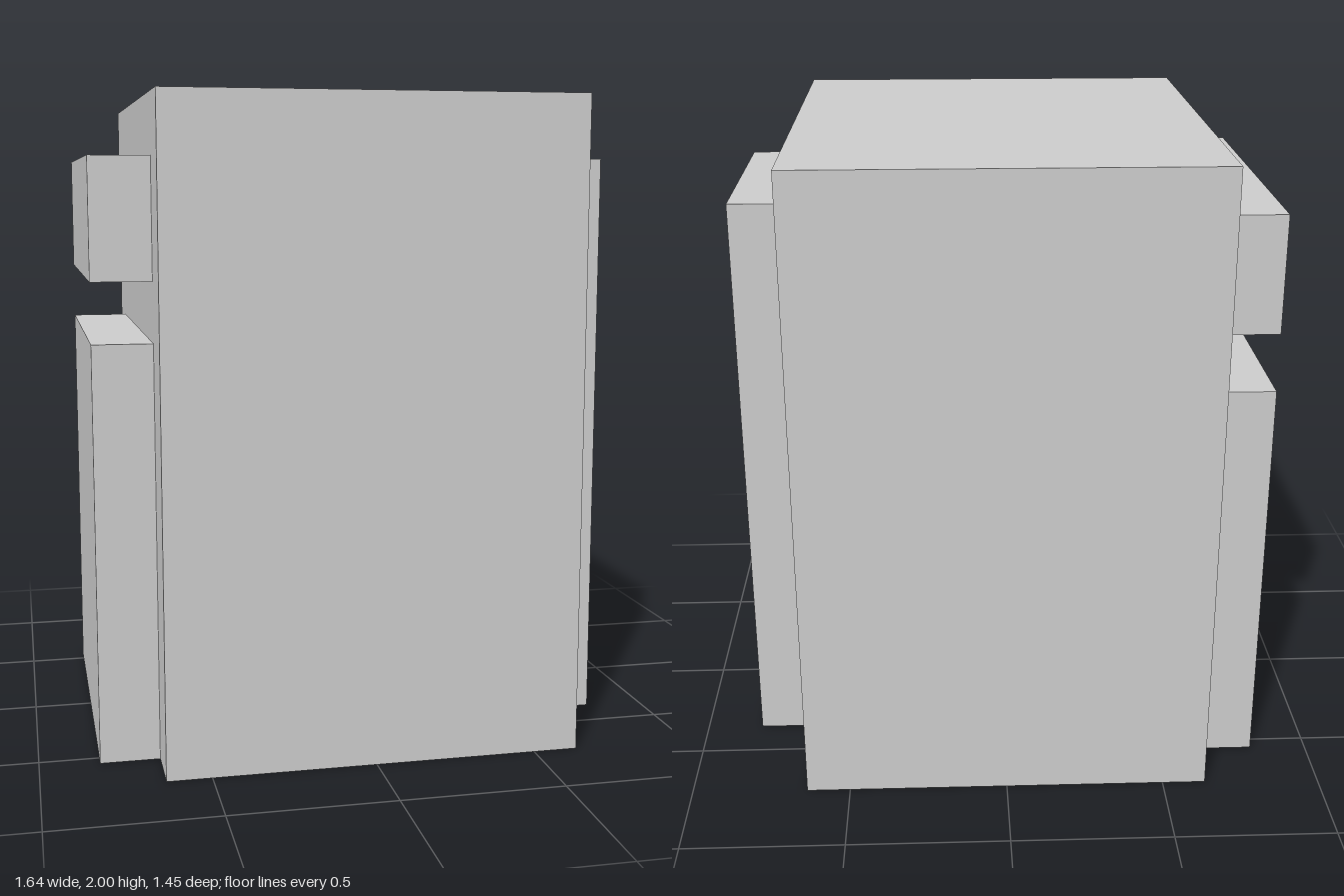
import * as THREE from 'three';

// All sizes fall on a grid of 11 steps to the full height
const U = 2 / 11;

export function createModel() {
  const group = new THREE.Group();
  const material = new THREE.MeshStandardMaterial({ color: 0xcccccc, flatShading: true });

  // Box spanning x0..x1 and y0..y1, centred in z, in grid steps
  const addBlock = (name, x0, x1, y0, y1, depth) => {
    const geometry = new THREE.BoxGeometry((x1 - x0) * U, (y1 - y0) * U, depth * U);
    const mesh = new THREE.Mesh(geometry, material);
    mesh.name = name;
    mesh.position.set(((x0 + x1) / 2) * U, ((y0 + y1) / 2) * U, 0);
    group.add(mesh);
  };

  // Main cabinet
  addBlock('body', -3.5, 3.5, 0, 11, 8);
  // Tall narrow panel on the +x side
  addBlock('tallPanel', 3.5, 4.5, 0, 10, 4);
  // Upper and lower panels on the -x side, with a gap between
  addBlock('upperPanel', -4.5, -3.5, 8, 10, 6);
  addBlock('lowerPanel', -4.5, -3.5, 0, 7, 6);

  return group;
}
